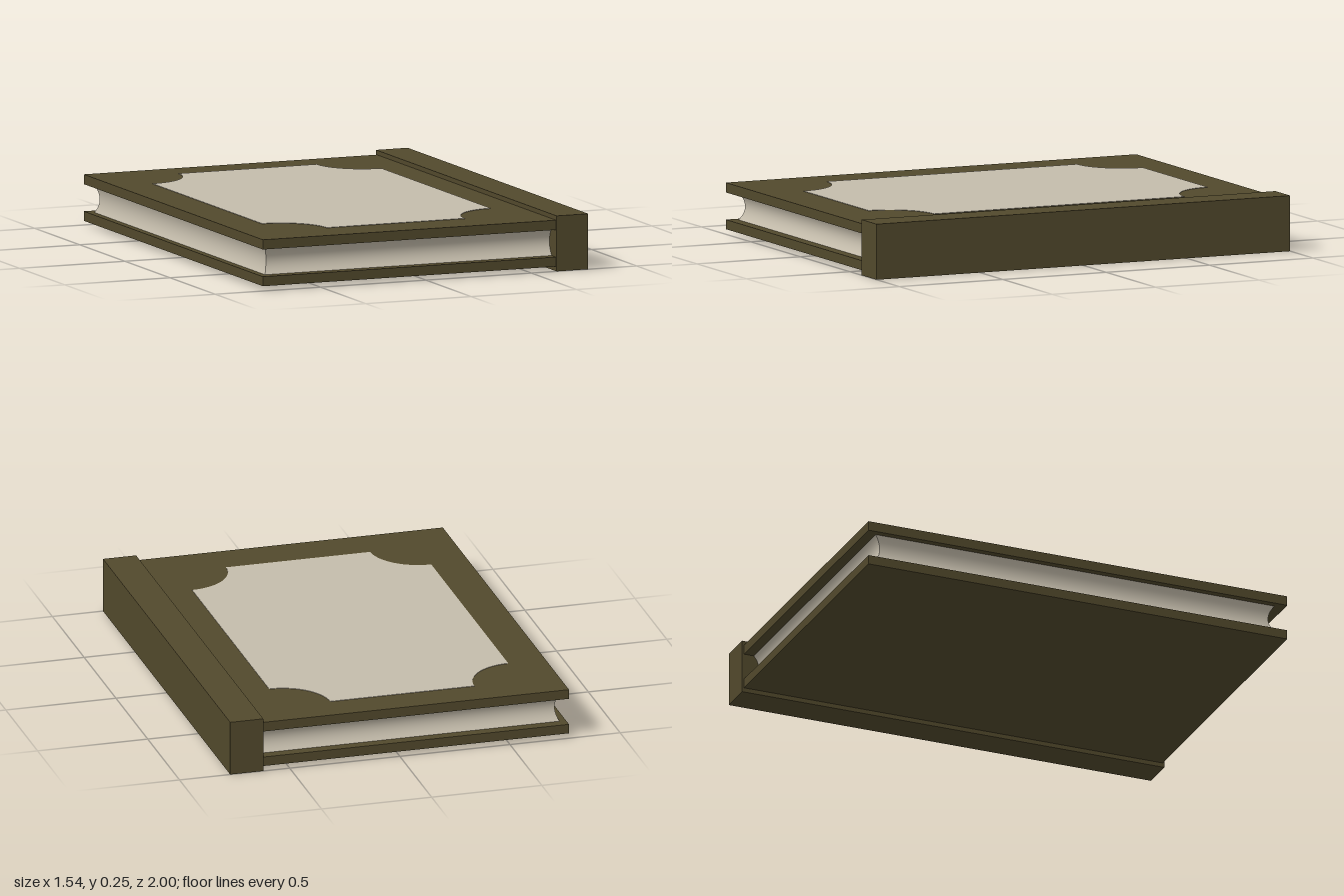
import * as THREE from 'three';

export function createModel() {
  const book = new THREE.Group();
  book.name = 'book';

  const leather = new THREE.MeshStandardMaterial({ color: 0x52492c });
  leather.name = 'olive leather';
  const paper = new THREE.MeshStandardMaterial({ color: 0xc4bcab });
  paper.name = 'cream paper';

  const add = (name, geometry, material) => {
    const mesh = new THREE.Mesh(geometry, material);
    mesh.name = name;
    book.add(mesh);
    return mesh;
  };
  // Box given by its limits
  const box = (name, x0, x1, y0, y1, z) =>
    add(name, new THREE.BoxGeometry(x1 - x0, y1 - y0, 2 * z), leather)
      .position.set((x0 + x1) / 2, (y0 + y1) / 2, 0);

  // Covers and the taller spine block
  box('bottomCover', -0.77, 0.62, 0.02, 0.062, 0.992);
  box('topCover', -0.77, 0.62, 0.182, 0.225, 0.992);
  box('spine', 0.62, 0.77, 0, 0.245, 1);

  // Page block: the three open edges are hollowed towards mid height
  const x0 = -0.74, x1 = 0.63, h = 0.12, depth = 0.945;
  const pages = new THREE.BoxGeometry(x1 - x0, h, 2 * depth, 1, 12, 1);
  pages.translate((x0 + x1) / 2, 0, 0);
  const p = pages.attributes.position;
  for (let i = 0; i < p.count; i++) {
    const t = (2 * p.getY(i)) / h;
    const inset = 0.025 * (1 - t * t);
    if (p.getX(i) < 0) p.setX(i, p.getX(i) + inset * 0.6);
    p.setZ(i, p.getZ(i) - Math.sign(p.getZ(i)) * inset);
  }
  pages.computeVertexNormals();
  add('pages', pages, paper).position.y = 0.122;

  // Front panel with scooped corners; shape y becomes -z
  const l = -0.6, r = 0.485, b = -0.8, t = 0.84, s = 0.215;
  const shape = new THREE.Shape();
  shape.moveTo(l + s, b);
  shape.lineTo(r - s, b);
  shape.absarc(r, b, s, Math.PI, Math.PI / 2, true);
  shape.lineTo(r, t - s);
  shape.absarc(r, t, s, -Math.PI / 2, -Math.PI, true);
  shape.lineTo(l + s, t);
  shape.absarc(l, t, s, 0, -Math.PI / 2, true);
  shape.lineTo(l, b + s);
  shape.absarc(l, b, s, Math.PI / 2, 0, true);
  const panel = new THREE.ExtrudeGeometry(shape, { depth: 0.003, bevelEnabled: false, curveSegments: 16 });
  panel.rotateX(-Math.PI / 2);
  add('coverPanel', panel, paper).position.y = 0.224;

  return book;
}
